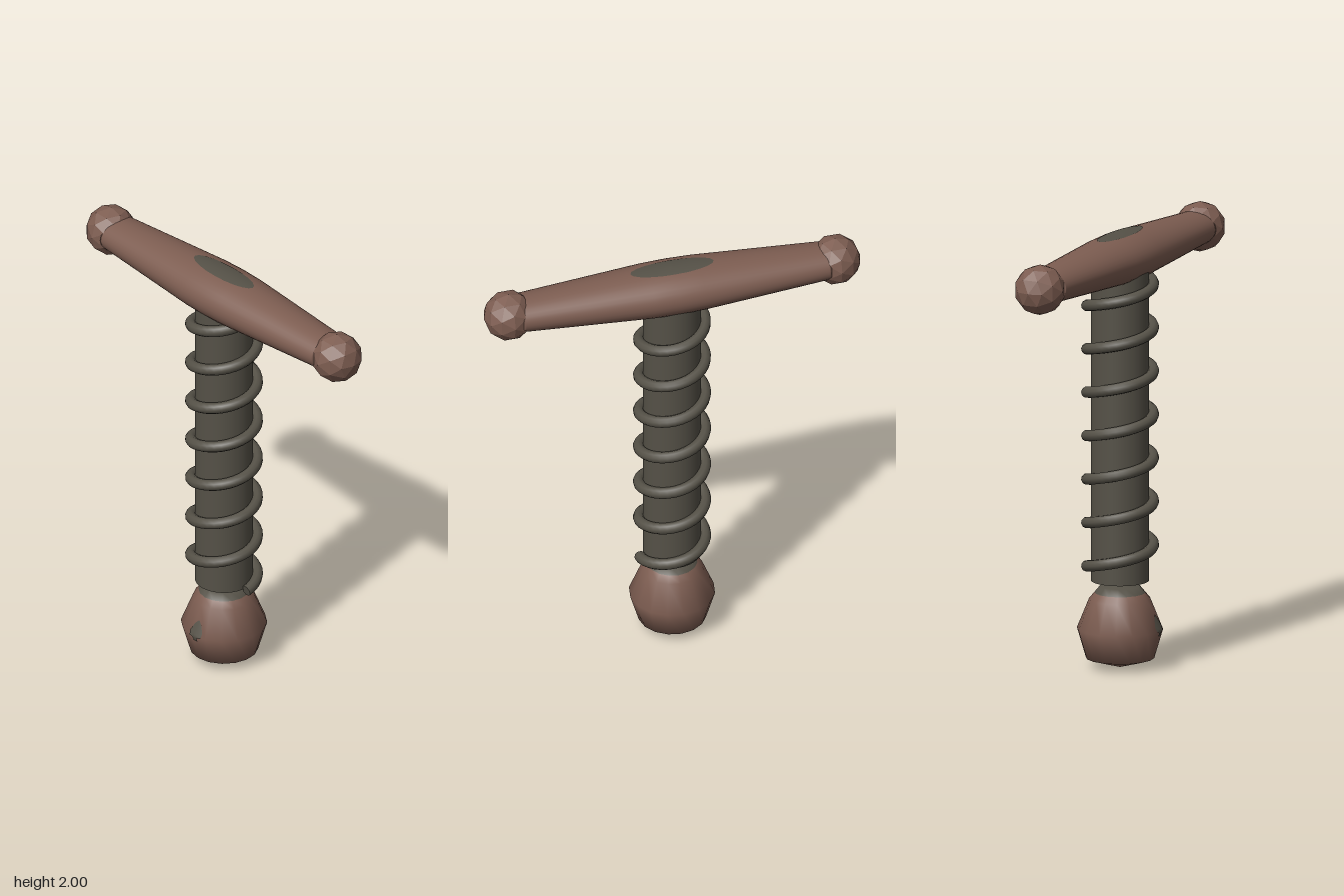
import * as THREE from 'three';

const brown = new THREE.MeshStandardMaterial({ color: 0x7d5d51 });
brown.name = 'brown wood';
const grey = new THREE.MeshStandardMaterial({ color: 0x555147 });
grey.name = 'dark metal';

const points = (list) => list.map(([x, y]) => new THREE.Vector2(x, y));

// Thin patch: an outline filled with rings, each point laid on a surface by place(u, v)
function patchGeometry(outline, centre, rings, place) {
  const pos = [], index = [], n = outline.length;
  for (let k = 0; k <= rings; k++) {
    for (const [u, v] of outline) {
      pos.push(...place(centre[0] + (u * k) / rings, centre[1] + (v * k) / rings));
    }
  }
  for (let k = 0; k < rings; k++) {
    for (let i = 0; i < n; i++) {
      const a = k * n + i, b = k * n + ((i + 1) % n);
      index.push(a, a + n, b + n);
      if (k > 0) index.push(a, b + n, b);
    }
  }
  const g = new THREE.BufferGeometry();
  g.setAttribute('position', new THREE.Float32BufferAttribute(pos, 3));
  g.setIndex(index);
  g.computeVertexNormals();
  return g;
}

export function createModel() {
  const model = new THREE.Group();
  const add = (name, geometry, material, x = 0, y = 0, z = 0) => {
    const mesh = new THREE.Mesh(geometry, material);
    mesh.name = name;
    mesh.position.set(x, y, z);
    model.add(mesh);
    return mesh;
  };

  // Shaft
  add('shaft', new THREE.CylinderGeometry(0.131, 0.131, 1.45, 32), grey, 0, 1.125, 0);

  // Coil wound seven turns around the shaft
  class Helix extends THREE.Curve {
    getPoint(t, target = new THREE.Vector3()) {
      const a = t * 14 * Math.PI;
      return target.set(0.15 * Math.cos(a), 0.4 + 1.4 * t, -0.15 * Math.sin(a));
    }
  }
  add('coil', new THREE.TubeGeometry(new Helix(), 224, 0.026, 10), grey);
  const coilEnd = add('coilEnd', new THREE.CircleGeometry(0.026, 10), grey, 0.15, 0.4, 0);
  coilEnd.rotation.x = 0.21;

  // Oval handle, widest in the middle
  const midY = 1.887, flat = 1.37;
  const radiusAt = (x) => {
    const a = Math.abs(x);
    return a < 0.12 ? 0.113 - 0.02 * a : 0.1106 - (a - 0.12) * 0.056;
  };
  const profile = [-0.72, -0.71, -0.4, -0.12, 0, 0.12, 0.4, 0.71, 0.72].map((x) => [radiusAt(x), x]);
  const handle = new THREE.LatheGeometry(points([[0, -0.74], ...profile, [0, 0.74]]), 36);
  handle.rotateZ(-Math.PI / 2);
  handle.scale(1, 1, flat);
  add('handle', handle, brown, 0, midY, 0);

  // Dark oval on top of the handle
  const oval = [];
  for (let i = 0; i < 20; i++) {
    const a = (i * Math.PI) / 10;
    oval.push([0.195 * Math.cos(a), 0.055 * Math.sin(a)]);
  }
  add('handleInlay', patchGeometry(oval, [0, 0], 6, (x, v) => {
    const r = radiusAt(x);
    return [x, midY + Math.sqrt(r * r - (v / flat) ** 2) + 0.002, -v];
  }), grey);

  // Faceted balls on both handle ends
  const ball = new THREE.IcosahedronGeometry(0.116, 1);
  const ballMaterial = brown.clone();
  ballMaterial.flatShading = true;
  for (const side of [-1, 1]) {
    add(side > 0 ? 'leftBall' : 'rightBall', ball, ballMaterial, side * 0.765, 1.884, 0);
  }

  // Bulb at the foot, with its dark crown
  add('bulb', new THREE.LatheGeometry(
    points([[0, 0], [0.155, 0.045], [0.195, 0.18], [0.14, 0.315], [0.115, 0.345]]), 16), brown);
  add('bulbCrown', new THREE.LatheGeometry(
    points([[0.115, 0.345], [0.09, 0.375], [0, 0.385]]), 16), grey);

  // Small leaf-shaped spot on the front of the bulb
  const half = [[0.012, -0.048], [0.012, -0.028], [0.032, -0.025], [0.035, -0.002], [0.018, 0.032]];
  const mirrored = half.map(([u, v]) => [-u, v]).reverse();
  add('bulbSpot', patchGeometry([...half, [0, 0.05], ...mirrored], [0.02, 0.205], 6, (x, y) => {
    const r = y < 0.18 ? 0.195 - (0.18 - y) * 0.296 : 0.195 - (y - 0.18) * 0.407;
    return [x, y, Math.sqrt(r * r - x * x) + 0.003];
  }), grey);

  return model;
}
